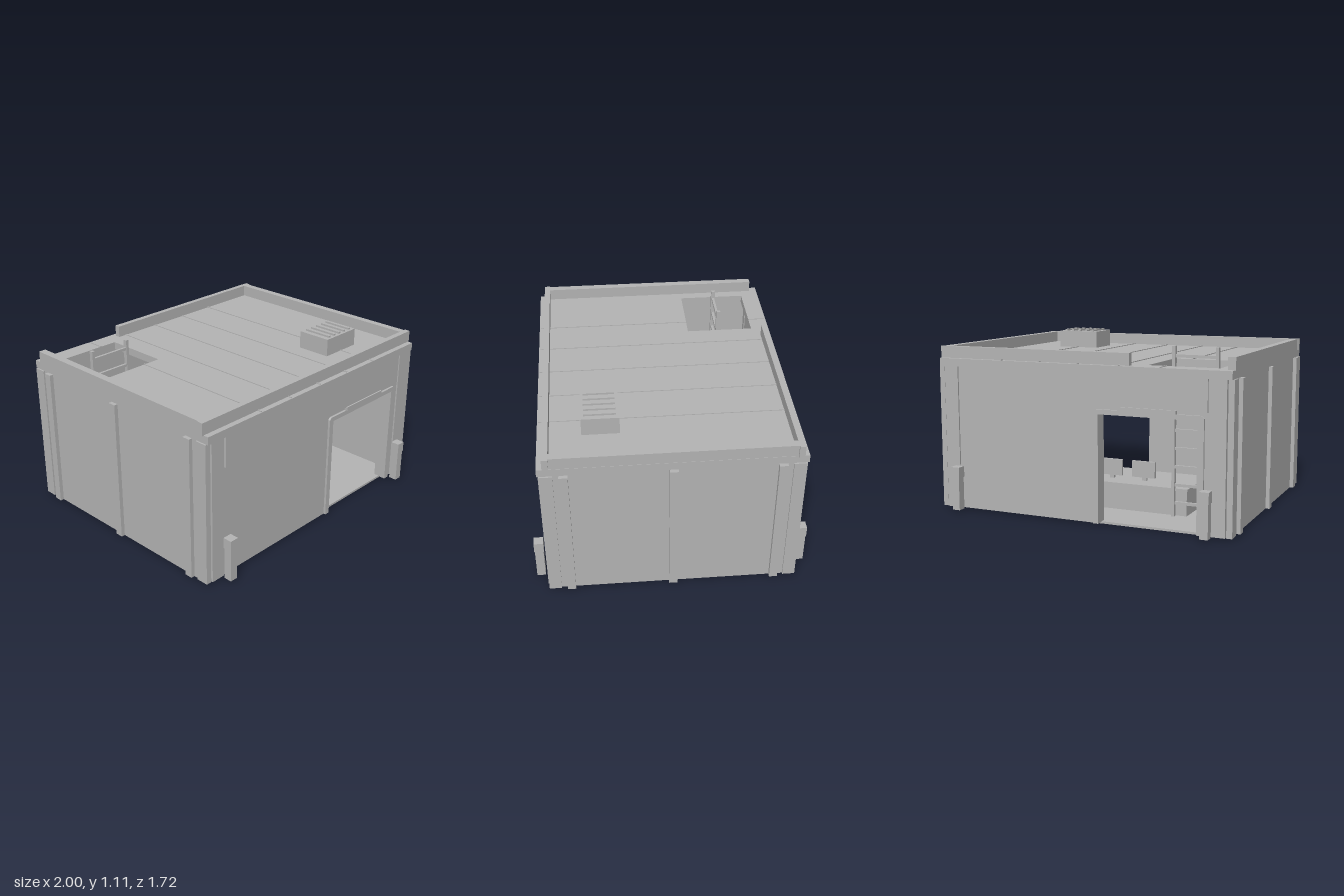
import * as THREE from 'three';

export function createModel() {
  const model = new THREE.Group();
  model.name = 'guardHut';
  const grey = new THREE.MeshStandardMaterial({ color: 0xb4b4b4 });
  grey.name = 'concreteGrey';

  const add = (name, geometry, parent) => {
    const mesh = new THREE.Mesh(geometry, grey);
    mesh.name = name;
    parent.add(mesh);
    return mesh;
  };
  // Box given by its lower and upper corners
  const box = (name, x0, x1, y0, y1, z0, z1, parent = model) => {
    const mesh = add(name, new THREE.BoxGeometry(x1 - x0, y1 - y0, z1 - z0), parent);
    mesh.position.set((x0 + x1) / 2, (y0 + y1) / 2, (z0 + z1) / 2);
    return mesh;
  };
  const outline = (points) => new THREE.Shape(points.map(([x, y]) => new THREE.Vector2(x, y)));
  const extrude = (shape, depth) => new THREE.ExtrudeGeometry(shape, { depth, bevelEnabled: false });

  // Floor
  box('floor', -0.93, 0.93, 0, 0.014, -0.74, 0.74);

  // Entrance side, used at the front and turned round for the back
  const buildEntrance = (name) => {
    const side = new THREE.Group();
    side.name = name;
    const wall = outline([[-0.94, 0.01], [0.14, 0.01], [0.14, 0.685], [0.77, 0.685],
      [0.77, 0.01], [0.94, 0.01], [0.94, 0.94], [-0.94, 0.94]]);
    add('doorWall', extrude(wall, 0.07), side).position.z = 0.705;
    box('fascia', -0.835, 0.83, 0.735, 0.95, 0.77, 0.788, side);

    // Door frame with clipped upper corners
    const frame = outline([[0.105, 0.01], [0.14, 0.01], [0.14, 0.685], [0.77, 0.685], [0.77, 0.01],
      [0.81, 0.01], [0.81, 0.7], [0.795, 0.715], [0.12, 0.715], [0.105, 0.7]]);
    add('doorFrame', extrude(frame, 0.085), side).position.z = 0.705;
    box('doorHeader', 0.27, 0.64, 0.715, 0.738, 0.77, 0.798, side);

    for (const s of [-1, 1]) {
      const pillar = box('cornerPillar', -0.048, 0.048, 0.01, 0.93, 0.7, 0.785, side);
      pillar.position.x = s * 0.895;
      const post = box('cornerPost', -0.018, 0.018, 0.01, 0.93, 0.7, 0.778, side);
      post.position.x = s * 0.967;
      // Bollard with a slightly wider cap
      const bollard = new THREE.Group();
      bollard.name = 'bollard';
      bollard.position.x = s * 0.838;
      box('bollardPost', -0.026, 0.026, 0.01, 0.22, 0.803, 0.857, bollard);
      box('bollardCap', -0.03, 0.03, 0.22, 0.29, 0.8, 0.86, bollard);
      side.add(bollard);
    }
    model.add(side);
    return side;
  };
  buildEntrance('frontEntrance');
  buildEntrance('backEntrance').rotation.y = Math.PI;

  // Side walls with vertical ribs
  for (const s of [-1, 1]) {
    const wall = box('sideWall', -0.035, 0.035, 0.01, 0.94, -0.74, 0.74);
    wall.position.x = s * 0.94;
    for (const z of [-0.638, 0, 0.638]) {
      const rib = box('sideRib', -0.015, 0.015, 0.01, 0.93, z - 0.026, z + 0.026);
      rib.position.x = s * 0.985;
    }
  }

  // Roof slab with a ladder hatch; shape y becomes -z
  const roof = outline([[-0.975, -0.79], [0.975, -0.79], [0.975, 0.79], [-0.975, 0.79]]);
  roof.holes.push(new THREE.Path([[-0.865, 0.23], [-0.865, 0.67], [-0.415, 0.67], [-0.415, 0.23]]
    .map(([x, y]) => new THREE.Vector2(x, y))));
  const slab = add('roofSlab', extrude(roof, 0.05), model);
  slab.rotation.x = -Math.PI / 2;
  slab.position.y = 0.93;

  // Roof seams, the first one broken by the hatch edge line
  for (const x of [-0.27, 0, 0.265, 0.53]) box('roofSeam', x - 0.004, x + 0.004, 0.975, 0.985, -0.782, 0.782);
  box('roofSeam', -0.539, -0.531, 0.975, 0.985, -0.23, 0.782);
  box('roofSeam', -0.539, -0.531, 0.975, 0.985, -0.782, -0.67);

  // Parapet, open above the hatch
  box('frontParapet', -0.985, 0.985, 0.978, 1.055, 0.718, 0.755);
  box('backParapet', -0.33, 0.985, 0.978, 1.055, -0.758, -0.722);
  box('rightParapet', -0.978, -0.93, 0.978, 1.055, -0.738, 0.718);
  box('leftParapet', 0.925, 0.973, 0.978, 1.055, -0.722, 0.718);

  // Roof vent
  box('ventBox', 0.385, 0.675, 0.978, 1.095, 0.295, 0.525);
  for (let i = 0; i < 5; i++) {
    const x = 0.427 + i * 0.052;
    box('ventSlat', x - 0.008, x + 0.008, 1.09, 1.107, 0.315, 0.508);
  }

  // Ladder
  const ladder = new THREE.Group();
  ladder.name = 'ladder';
  model.add(ladder);
  for (const x of [-0.777, -0.498]) box('ladderRail', x - 0.01, x + 0.01, 0.014, 1.08, -0.462, -0.435, ladder);
  for (let i = 0; i < 9; i++) {
    const y = 0.1 + i * 0.115;
    box('ladderRung', -0.777, -0.498, y - 0.009, y + 0.009, -0.457, -0.44, ladder);
  }

  // Desk with monitors
  const desk = new THREE.Group();
  desk.name = 'desk';
  model.add(desk);
  box('deskBody', -0.58, 0.09, 0.014, 0.175, -0.43, -0.24, desk);
  box('deskTop', -0.59, 0.1, 0.175, 0.19, -0.445, -0.235, desk);
  for (const x of [-0.25, -0.02]) {
    box('monitorStand', x - 0.015, x + 0.015, 0.19, 0.23, -0.325, -0.305, desk);
    box('monitor', x - 0.08, x + 0.08, 0.215, 0.32, -0.345, -0.325, desk);
  }

  // Storage cabinet with shelf edges
  const cabinet = new THREE.Group();
  cabinet.name = 'cabinet';
  model.add(cabinet);
  box('cabinetBody', 0.45, 0.905, 0.014, 0.43, -0.7, -0.45, cabinet);
  for (const y of [0.12, 0.233, 0.345]) box('cabinetShelf', 0.443, 0.905, y - 0.006, y + 0.006, -0.7, -0.44, cabinet);

  return model;
}
